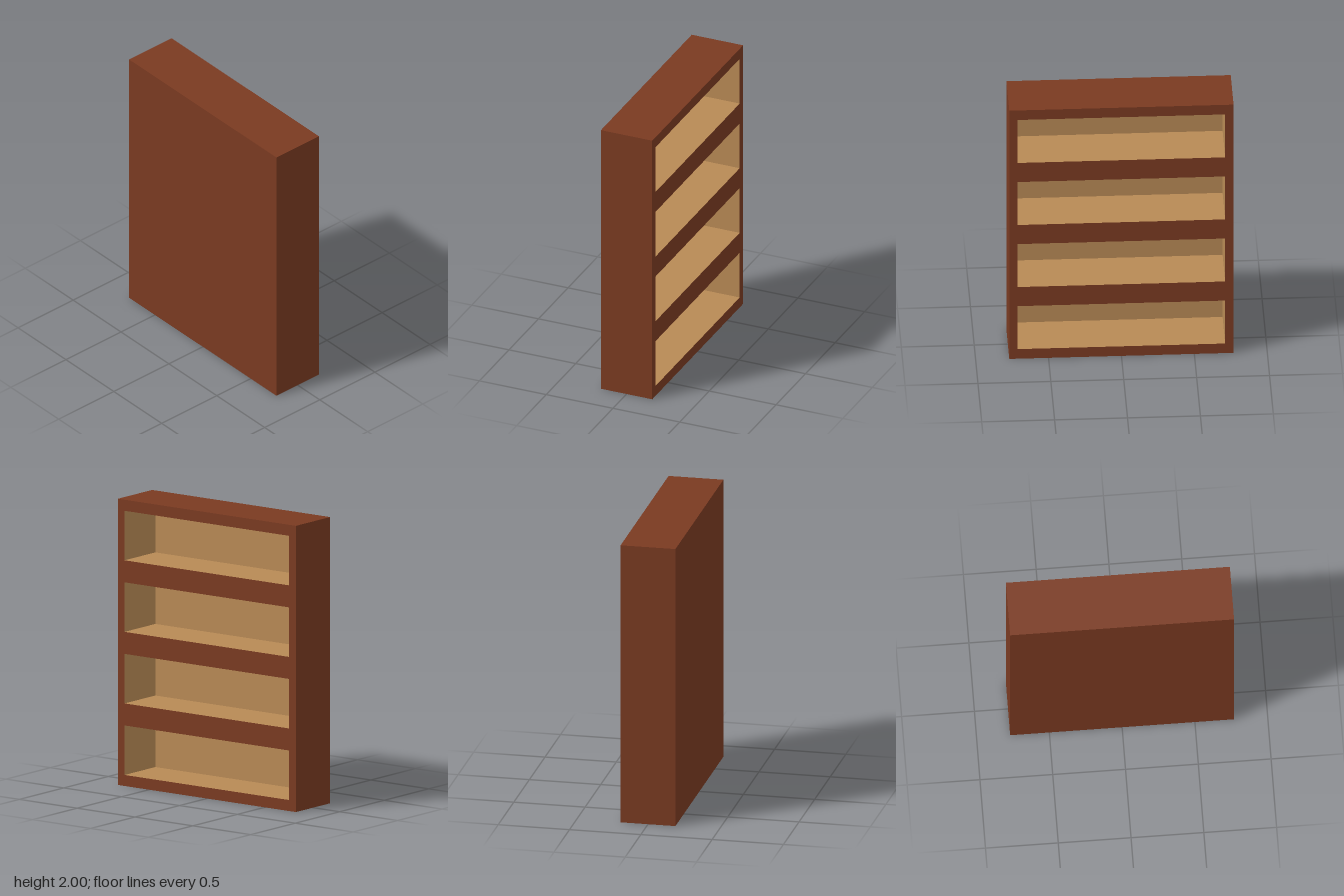
import * as THREE from 'three';

const U = 2 / 5.2; // one design unit: the case is 4 wide, 5.2 high, 1 deep
const W = 4 * U, H = 5.2 * U, D = U;
const SHELVES = 4, PITCH = H / SHELVES;
const OPEN_W = 3.7 * U, OPEN_H = 0.9 * U, OPEN_D = 0.9 * U;

// Box without its -z side; inward turns the faces to the inside
function openBox(w, h, d, inward = false) {
  const geo = new THREE.BoxGeometry(w, h, d);
  const index = Array.from(geo.index.array).slice(0, 30);
  geo.clearGroups();
  geo.setIndex(inward ? index.reverse() : index);
  if (inward) {
    const n = geo.attributes.normal;
    for (let i = 0; i < n.count; i++) n.setXYZ(i, -n.getX(i), -n.getY(i), -n.getZ(i));
  }
  return geo;
}

// Rectangle outline centred on (0, cy)
function rect(path, w, h, cy) {
  path.moveTo(-w / 2, cy - h / 2);
  path.lineTo(w / 2, cy - h / 2);
  path.lineTo(w / 2, cy + h / 2);
  path.lineTo(-w / 2, cy + h / 2);
  path.closePath();
  return path;
}

export function createModel() {
  const group = new THREE.Group();
  group.name = 'bookcase';
  const darkWood = new THREE.MeshStandardMaterial({ color: 0x7a3a21 });
  const paleWood = new THREE.MeshStandardMaterial({ color: 0xb88a55 });

  const add = (name, geo, mat, y, z) => {
    const mesh = new THREE.Mesh(geo, mat);
    mesh.name = name;
    mesh.position.set(0, y, z);
    group.add(mesh);
    return mesh;
  };

  // Outer case: closed panel, sides, top and bottom
  add('case', openBox(W, H, D), darkWood, H / 2, 0);

  // Face frame around the compartments, on the open -z side
  const frame = rect(new THREE.Shape(), W, H, H / 2);
  for (let i = 0; i < SHELVES; i++) {
    const cy = (i + 0.5) * PITCH;
    frame.holes.push(rect(new THREE.Path(), OPEN_W, OPEN_H, cy));

    // Pale lining of each compartment
    add('compartment' + (i + 1), openBox(OPEN_W, OPEN_H, OPEN_D, true), paleWood, cy, -D / 2 + OPEN_D / 2);
  }
  add('faceFrame', new THREE.ShapeGeometry(frame), darkWood, 0, -D / 2).rotation.y = Math.PI;

  return group;
}
